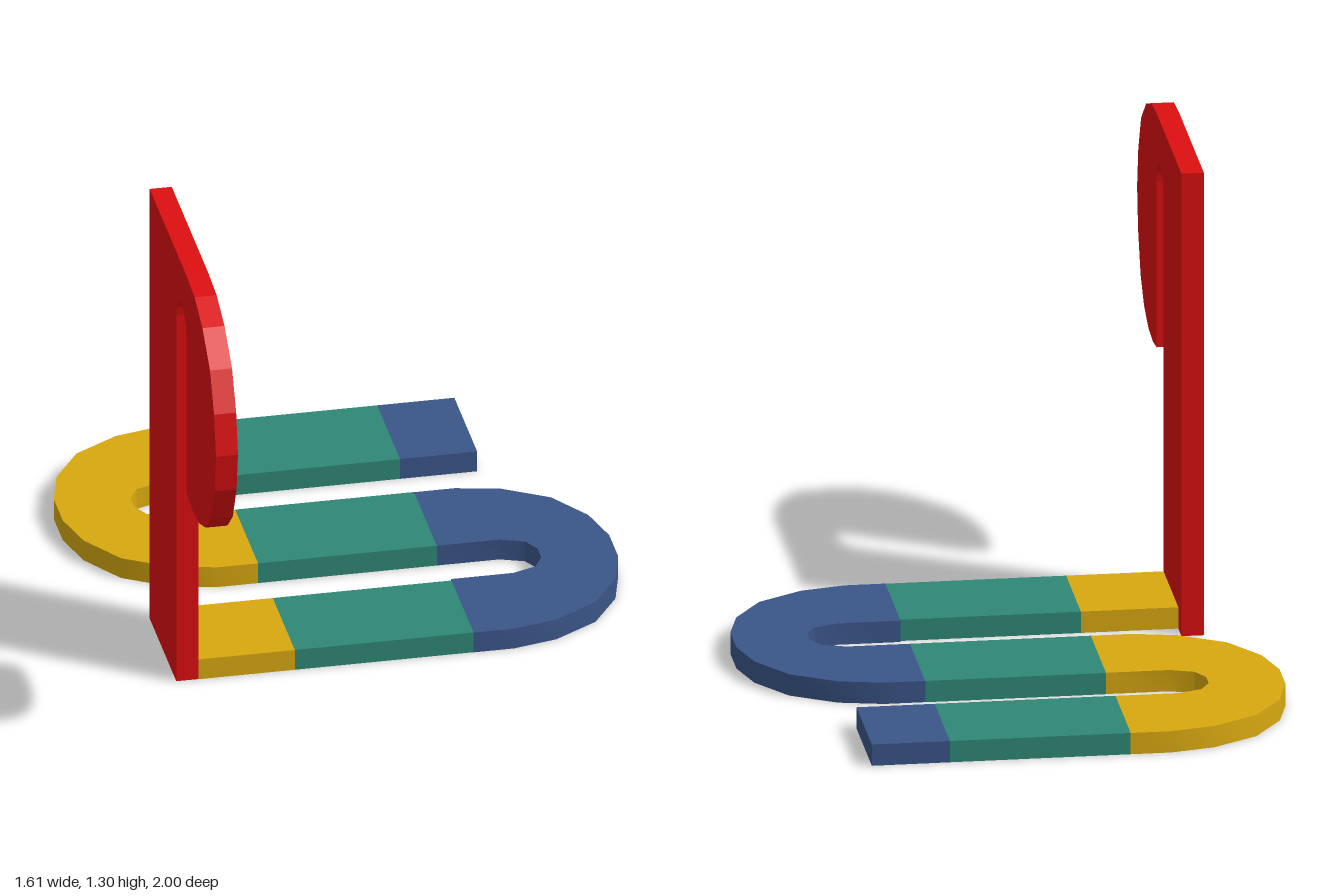
import * as THREE from 'three';
import { toCreasedNormals } from 'three/addons/utils/BufferGeometryUtils.js';

const material = (name, color) => {
  const m = new THREE.MeshStandardMaterial({ color });
  m.name = name;
  return m;
};

const THICK = 0.06;
const toShape = (pts) => new THREE.Shape(pts.map(([a, b]) => new THREE.Vector2(a, b)));
const extrude = (pts) => new THREE.ExtrudeGeometry(toShape(pts), { depth: THICK, bevelEnabled: false });

export function createModel() {
  const red = material('red', 0xdc0f10);
  const yellow = material('yellow', 0xd8a810);
  const green = material('green', 0x2f8877);
  const blue = material('blue', 0x3a5588);

  const model = new THREE.Group();
  // everything is laid out on straight axes, then turned by an eighth
  const body = new THREE.Group();
  body.name = 'turnedBody';
  body.rotation.y = Math.PI / 4;
  model.add(body);

  const add = (name, geometry, mat) => {
    const mesh = new THREE.Mesh(geometry, mat);
    mesh.name = name;
    body.add(mesh);
  };

  // upright panel: straight post, arched slot and rounded lobe
  const slot = [];
  for (let i = 0; i <= 8; i++) {
    const a = Math.PI * i / 8;
    slot.push([0.545 + 0.069 * Math.cos(a), 1.112 + 0.072 * Math.sin(a)]);
  }
  const panel = extrude([
    [0.477, 0], [0.122, 0], [0.122, 1.305], [0.61, 1.305],
    [0.72, 1.297], [0.825, 1.26], [0.925, 1.185], [0.98, 1.08], [1.004, 0.965],
    [0.985, 0.85], [0.935, 0.74], [0.865, 0.675], [0.78, 0.643], [0.69, 0.635], [0.614, 0.645],
    ...slot,
  ]);
  panel.rotateY(-Math.PI / 2).translate(-0.345, 0, 0);
  add('uprightPanel', panel, red);

  // straight floor strips: [name, start, end, near edge, far edge, material]
  const U0 = -0.083, U1 = 0.403;
  const rows = [[0.184, 0.478], [-0.316, -0.012], [-0.806, -0.502]];
  const strip = (name, a, b, [v0, v1], mat) => {
    const g = new THREE.BoxGeometry(b - a, THICK, v1 - v0);
    g.translate((a + b) / 2, THICK / 2, (v0 + v1) / 2);
    add(name, g, mat);
  };
  strip('startStrip', -0.345, U0, rows[0], yellow);
  rows.forEach((row, i) => strip('middleStrip' + (i + 1), U0, U1, row, green));
  strip('endStrip', U1, 0.613, rows[2], blue);

  // half of a bend's outer and inner edge, as [sideways, outwards]
  const outer = [[0.397, 0], [0.397, 0.11], [0.37, 0.23], [0.296, 0.352], [0.18, 0.43], [0.06, 0.462]];
  const inner = [[0.094, 0], [0.094, 0.17], [0.07, 0.235], [0.025, 0.26]];
  const fullEdge = (half) => [...half, ...half.map(([s, o]) => [-s, o]).reverse()];
  const bend = (name, u, v, dir, mat) => {
    const pts = [...fullEdge(outer), ...fullEdge(inner).reverse()]
      .map(([s, o]) => [u + dir * o, -v - dir * s]);
    const g = extrude(pts).rotateX(-Math.PI / 2);
    add(name, toCreasedNormals(g, 0.7), mat);
  };
  bend('blueBend', U1, 0.082, 1, blue);
  bend('yellowBend', U0, -0.409, -1, yellow);

  return model;
}
